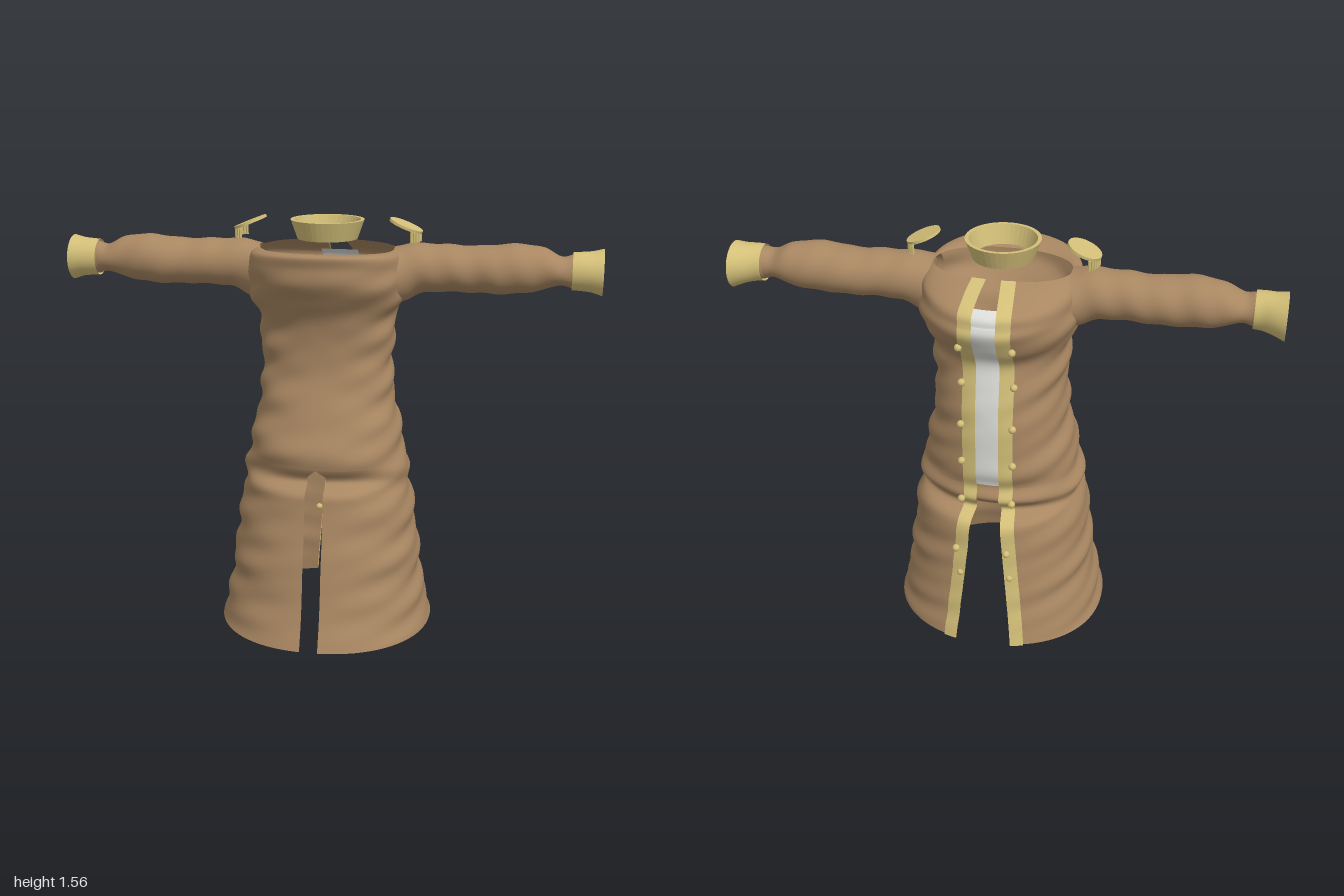
import * as THREE from 'three';

const mat = (name, color, side = THREE.DoubleSide) => {
  const m = new THREE.MeshStandardMaterial({ color, side });
  m.name = name;
  return m;
};

// Smooth interpolation of a table row at fractional index t
function sample(rows, t) {
  const n = rows.length - 1;
  const i = Math.min(Math.floor(t), n - 1), f = t - i;
  const a = rows[Math.max(i - 1, 0)], b = rows[i], c = rows[i + 1], d = rows[Math.min(i + 2, n)];
  return b.map((_, k) => {
    const m0 = (c[k] - a[k]) / 2, m1 = (d[k] - b[k]) / 2;
    return b[k] + f * (m0 + f * (3 * (c[k] - b[k]) - 2 * m0 - m1 + f * (2 * (b[k] - c[k]) + m0 + m1)));
  });
}

// Grid surface from f(u, v) -> [x, y, z], u and v in 0..1
function grid(nu, nv, f) {
  const pos = [], idx = [];
  for (let j = 0; j <= nv; j++) for (let i = 0; i <= nu; i++) pos.push(...f(i / nu, j / nv));
  for (let j = 0; j < nv; j++) for (let i = 0; i < nu; i++) {
    const a = j * (nu + 1) + i, b = a + 1, c = a + nu + 1, d = c + 1;
    idx.push(a, b, d, a, d, c);
  }
  const g = new THREE.BufferGeometry();
  g.setAttribute('position', new THREE.Float32BufferAttribute(pos, 3));
  g.setIndex(idx);
  g.computeVertexNormals();
  return g;
}

// Coat sections: front height, back height, half width, front depth, back depth, back gap
const BODY = [
  [0, 0, .41, .41, .378, .11],
  [.1, .1, .385, .375, .36, .10],
  [.2, .2, .365, .352, .348, .09],
  [.3, .3, .355, .338, .338, .08],
  [.4, .4, .34, .315, .328, .07],
  [.52, .52, .325, .295, .318, .06],
  [.575, .56, .31, .285, .245, .05],
  [.61, .61, .315, .23, .275, .045],
  [.66, .66, .30, .252, .26, .045],
  [.72, .72, .292, .258, .278, .045],
  [.8, .8, .272, .228, .278, .045],
  [.9, .9, .253, .198, .28, .045],
  [1.0, 1.0, .245, .172, .275, .045],
  [1.1, 1.08, .248, .173, .262, .045],
  [1.2, 1.17, .255, .19, .25, .045],
  [1.28, 1.24, .28, .235, .29, .045],
  [1.35, 1.31, .295, .275, .325, .045],
  [1.41, 1.35, .29, .28, .318, .045],
  [1.455, 1.39, .28, .285, .305, .045],
  [1.455, 1.43, .262, .22, .225, .038],
  [1.44, 1.455, .25, .16, .15, .03],
];
const SPLIT = 8, TOP = BODY.length - 1, E = .92;
const curve = (v) => Math.sign(v) * Math.abs(v) ** E;

// Point on the coat at section t and angle th (0 front, PI back), pushed outward
function coat(t, th, push = 0) {
  const [yf, yb, w, f, b] = sample(BODY, t);
  const s = Math.sin(th), c = Math.cos(th), k = (1 - c) / 2;
  const y = yf + (yb - yf) * k;
  const fade = Math.min(1, t * 2, Math.max(0, (TOP - 2 - t) / 2));
  const fold = fade * (.005 * Math.sin(y * 38 + 3 * s) + .004 * Math.sin(y * 61 - 5 * th));
  const r = push + fold * Math.abs(s);
  return [(w + r) * curve(s), y + (t > TOP - 3 ? push * .8 : 0), (c > 0 ? f + r : b + r) * curve(c)];
}
// Angle away from the centre plane that gives sideways distance x
const angleAt = (x, t) => Math.sign(x) * Math.asin((Math.abs(x) / sample(BODY, t)[2]) ** (1 / E));
const gapAt = (t) => sample(BODY, t)[5];
const lerp = THREE.MathUtils.lerp;

// Sleeve sections: x, centre y, centre z, half height, half depth
const SLEEVE = [
  [.25, 1.35, -.005, .105, .125], [.30, 1.365, -.01, .102, .108], [.36, 1.378, -.015, .09, .098],
  [.45, 1.38, -.015, .086, .096], [.55, 1.378, -.02, .085, .098], [.64, 1.382, -.015, .09, .1],
  [.72, 1.386, -.02, .088, .094], [.79, 1.386, -.025, .075, .082], [.85, 1.382, -.02, .052, .066],
  [.89, 1.38, -.025, .06, .06],
];
const LINING = [[.885, 1.38, -.025, .06, .06], [.94, 1.38, -.035, .066, .068], [.998, 1.375, -.05, .08, .085]];
const CUFF = [[.89, 1.38, -.028, .068, .068], [.92, 1.38, -.03, .07, .07], [.96, 1.378, -.04, .074, .08], [1, 1.375, -.05, .085, .09]];

function tube(rows, s, nu, nv, wrinkle) {
  return grid(nu, nv, (u, v) => {
    const [x, cy, cz, ry, rz] = sample(rows, v * (rows.length - 1));
    const a = -s * u * Math.PI * 2 - Math.PI / 2;
    const r = 1 + wrinkle * Math.sin(x * 55 + 2 * Math.sin(a));
    return [s * x, cy + Math.sin(a) * ry * r, cz + Math.cos(a) * rz * r];
  });
}

export function createModel() {
  const cloth = mat('brown cloth', 0xa98762);
  const trim = mat('pale gold trim', 0xd3bf78);
  const white = mat('white panel', 0xdcdcd8);
  const model = new THREE.Group();
  model.name = 'longCoat';
  const add = (name, geo, m, parent = model) => {
    const mesh = new THREE.Mesh(geo, m);
    mesh.name = name;
    parent.add(mesh);
    return mesh;
  };

  // Torso, open at the back
  add('torso', grid(72, 80, (u, v) => {
    const t = lerp(SPLIT, TOP, v);
    return coat(t, (2 * u - 1) * (Math.PI - angleAt(gapAt(t), t)));
  }), cloth);

  // White back panel and the cloth tab under it
  const backPanel = (t0, t1, push) => grid(8, 50, (u, v) => {
    const t = lerp(t0, t1, v);
    return coat(t, Math.PI - angleAt((u - .5) * .15, t), push);
  });
  add('backPanel', backPanel(SPLIT, TOP - 1.6, -.012), white);
  add('backTab', backPanel(SPLIT - 1.6, SPLIT, -.008), cloth);

  // Collar ring
  const ring = [[.103, 1.48], [.111, 1.48], [.136, 1.55], [.122, 1.55], [.103, 1.48]];
  add('collar', new THREE.LatheGeometry(ring.map((p) => new THREE.Vector2(...p)), 40).toNonIndexed(), trim)
    .geometry.computeVertexNormals();

  for (const s of [1, -1]) {
    const side = new THREE.Group();
    side.name = s > 0 ? 'leftSide' : 'rightSide';
    model.add(side);

    // Skirt half with front slit
    add('skirt', grid(36, 50, (u, v) => {
      const t = v * SPLIT;
      const a = angleAt(.034 * Math.min(1, (1 - v) * 14), t), b = Math.PI - angleAt(gapAt(t), t);
      return coat(t, s * lerp(a, b, s > 0 ? u : 1 - u));
    }), cloth, side);

    // Gold edging along the back opening
    add('backEdging', grid(4, 110, (u, v) => {
      const t = v * TOP, x = gapAt(t) - .004 + .05 * (s > 0 ? 1 - u : u);
      return coat(t, s * (Math.PI - angleAt(x, t)), .007);
    }), trim, side);

    // Buttons
    const buttons = [[1.26, .3], [1.1, .262], [.94, .285], [.78, .282], [.62, .295], [.46, .39], [.3, .33]];
    for (const [y, z] of buttons) {
      add('button', new THREE.SphereGeometry(.014, 14, 10), trim, side).position.set(s * .095, y, -z);
    }

    // Sleeve, cuff lining and cuff
    add('sleeve', tube(SLEEVE, s, 40, 60, .02), cloth, side);
    add('cuffLining', tube(LINING, s, 32, 6, 0), cloth, side);
    add('cuff', tube(CUFF, s, 32, 10, 0), trim, side);

    // Shoulder pad with a short fringe on its outer edge
    const pad = new THREE.Group();
    pad.name = 'shoulderPad';
    pad.position.set(s * .29, 1.533, 0);
    pad.rotation.z = -s * .38;
    side.add(pad);
    add('padDisc', new THREE.CylinderGeometry(.064, .064, .01, 32), trim, pad);
    for (let i = -5; i <= 5; i++) {
      const a = i * .22;
      add('fringe', new THREE.CylinderGeometry(.005, .005, .036, 8), trim, side)
        .position.set(s * (.293 + .05 * Math.cos(a)), 1.497, .06 * Math.sin(a));
    }
  }
  return model;
}
